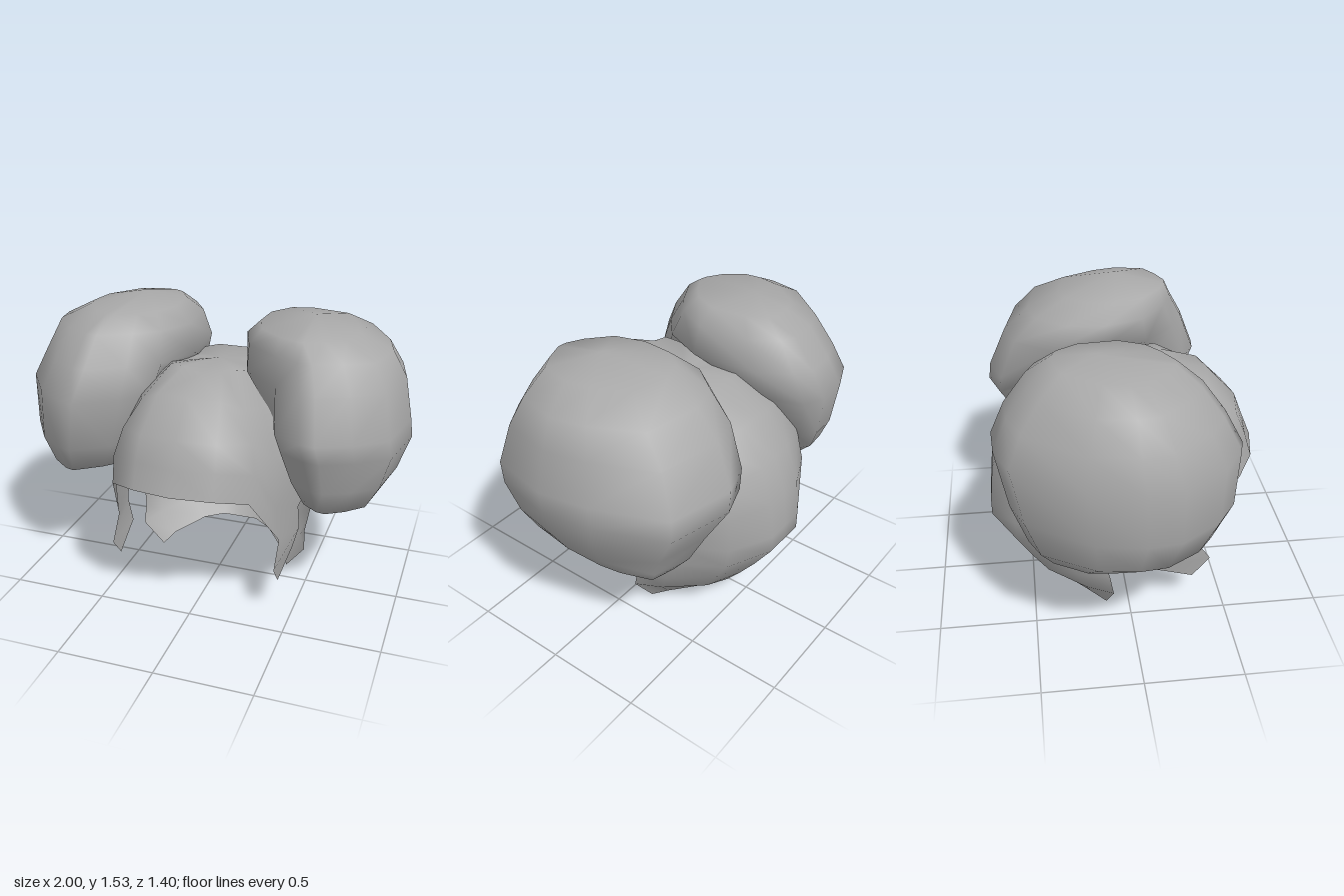
import * as THREE from 'three';
import { mergeVertices } from 'three/addons/utils/BufferGeometryUtils.js';

const hairGrey = new THREE.MeshStandardMaterial({ color: 0xa8a8a8, side: THREE.DoubleSide });
hairGrey.name = 'hairGrey';

// Adds triangles between neighbouring point rows; mirror = -1 flips x and winding.
// Points are [x, y, z, joint]; triangles wholly inside a bun-to-cap joint are left open.
function addGrid(out, rows, mirror = 1) {
  const tri = (...p) => {
    if (p.every(q => q[3])) return;
    if (mirror < 0) p.reverse();
    p.forEach(([x, y, z]) => out.push(x * mirror, y, z));
  };
  for (let i = 0; i < rows.length - 1; i++) {
    for (let j = 0; j < rows[i].length - 1; j++) {
      const a = rows[i][j], b = rows[i][j + 1], c = rows[i + 1][j + 1], d = rows[i + 1][j];
      tri(a, b, c);
      tri(a, c, d);
    }
  }
}

function smoothMesh(name, positions) {
  let geo = new THREE.BufferGeometry();
  geo.setAttribute('position', new THREE.Float32BufferAttribute(positions, 3));
  geo = mergeVertices(geo, 1e-4);
  geo.computeVertexNormals();
  const mesh = new THREE.Mesh(geo, hairGrey);
  mesh.name = name;
  return mesh;
}

// Approximate half width of the cap, used to seat the buns on it
function capHalfWidth(y, z) {
  const up = Math.max(0, y - 0.7) / 0.56;
  return 0.46 * Math.sqrt(Math.max(0, 1 - up * up - (z / 0.75) ** 2));
}

// Bun: one plan outline fitted into the x and z range of each level [y, x0, x1, z0, z1]
function makeBun(name, outline, levels, mirror) {
  const box = new THREE.Box2().setFromPoints(outline.map(([x, z]) => new THREE.Vector2(x, z)));
  const size = box.getSize(new THREE.Vector2());
  const unit = outline.map(([x, z]) => [(x - box.min.x) / size.x, (z - box.min.y) / size.y]);
  unit.push(unit[0]);
  const rings = levels.map(([y, x0, x1, z0, z1]) => unit.map(([u, v]) => {
    const x = x0 + u * (x1 - x0), z = z0 + v * (z1 - z0);
    const seat = capHalfWidth(y, z);
    return [Math.max(x, seat), y, z, x < seat];
  }));
  const out = [];
  addGrid(out, rings, mirror);
  return smoothMesh(name, out);
}

export function createModel() {
  const model = new THREE.Group();
  model.name = 'hair';

  // Cap columns, each from near the crown to the hairline, front centre to side
  const crown = [0, 1.23, -0.05];
  const front = [
    [[0, 1.24, 0.25], [0, 1.19, 0.45], [0, 1.03, 0.6], [0, 0.9, 0.65], [0, 0.78, 0.7]],
    [[0.1, 1.26, 0.22], [0.16, 1.18, 0.42], [0.19, 1.02, 0.57], [0.2, 0.9, 0.62], [0.2, 0.77, 0.66]],
    [[0.17, 1.26, 0.2], [0.26, 1.13, 0.38], [0.33, 1.0, 0.46], [0.36, 0.87, 0.52], [0.35, 0.74, 0.57]],
    [[0.2, 1.24, 0.12], [0.32, 1.1, 0.25], [0.41, 0.88, 0.34], [0.43, 0.64, 0.37], [0.44, 0.43, 0.33]],
    [[0.21, 1.22, 0.05], [0.37, 1.07, 0.1], [0.47, 0.86, 0.1], [0.49, 0.68, 0.1], [0.48, 0.51, 0.1]],
    [[0.21, 1.21, -0.03], [0.38, 1.06, 0], [0.48, 0.86, 0], [0.5, 0.7, 0], [0.49, 0.54, 0.03]],
  ];
  // Cap columns from the side to the back
  const back = [
    [[0.22, 1.2, -0.1], [0.39, 1.05, -0.1], [0.48, 0.85, -0.1], [0.5, 0.7, -0.1], [0.49, 0.53, -0.08]],
    [[0.21, 1.2, -0.18], [0.37, 1.05, -0.3], [0.45, 0.87, -0.36], [0.47, 0.7, -0.37], [0.46, 0.53, -0.35]],
    [[0.18, 1.2, -0.25], [0.3, 1.06, -0.43], [0.34, 0.9, -0.53], [0.34, 0.72, -0.58], [0.33, 0.53, -0.58]],
    [[0.08, 1.22, -0.28], [0.11, 1.1, -0.48], [0.12, 0.93, -0.61], [0.12, 0.74, -0.68], [0.12, 0.54, -0.7]],
  ];
  // Nape: continues the back columns down to the lower hem
  const nape = [
    [[0.49, 0.53, -0.08], [0.5, 0.41, -0.15], [0.475, 0.25, -0.11], [0.48, 0.14, -0.09], [0.375, 0, -0.12]],
    [[0.46, 0.53, -0.35], [0.47, 0.41, -0.33], [0.46, 0.27, -0.28], [0.42, 0.15, -0.23], [0.33, 0.04, -0.2]],
    [[0.33, 0.53, -0.58], [0.33, 0.42, -0.57], [0.31, 0.3, -0.5], [0.28, 0.17, -0.42], [0.2, 0.08, -0.36]],
    [[0.12, 0.54, -0.7], [0.12, 0.45, -0.7], [0.11, 0.3, -0.6], [0.1, 0.18, -0.51], [0.1, 0.085, -0.43]],
  ];
  // Sideburn strand in front of the ear gap
  const sideburn = [
    [[0.44, 0.43, 0.33], [0.44, 0.3, 0.42], [0.44, 0.19, 0.33]],
    [[0.48, 0.51, 0.1], [0.49, 0.39, 0.1], [0.46, 0.27, 0.11]],
  ];
  const closeBack = cols => [...cols, cols.at(-1).map(([, y, z]) => [0, y, z])];

  // Side columns open into the buns above the ear
  const columns = closeBack([...front, ...back]).map((col, i) =>
    [crown, ...col.map((p, j) => [...p, i >= 4 && i <= 7 && j < 4])]);
  const cap = [];
  for (const side of [1, -1]) {
    addGrid(cap, columns, side);
    addGrid(cap, closeBack(nape), side);
    addGrid(cap, sideburn, side);
  }
  const capMesh = smoothMesh('hairCap', cap);
  capMesh.position.x = -0.015;
  model.add(capMesh);

  // Side buns, slightly different from each other
  model.add(makeBun('leftBun',
    [[0.46, -0.68], [0.8, -0.6], [0.95, -0.25], [1, 0], [0.94, 0.31], [0.78, 0.42], [0.62, 0.49],
      [0.54, 0.48], [0.4, 0.4], [0.2, 0.2], [0.12, -0.1], [0.14, -0.4], [0.28, -0.62]],
    [[1.53, 0.5, 0.5, 0.03, 0.03], [1.47, 0.22, 0.72, -0.28, 0.3], [1.38, 0.13, 0.88, -0.45, 0.34],
      [1.25, 0.12, 0.95, -0.58, 0.41], [1.04, 0.13, 0.99, -0.67, 0.49], [0.94, 0.16, 1, -0.68, 0.46],
      [0.76, 0.26, 0.94, -0.58, 0.4], [0.63, 0.38, 0.86, -0.52, 0.35], [0.56, 0.48, 0.8, -0.46, 0.05],
      [0.51, 0.66, 0.66, -0.35, -0.35]], 1));
  model.add(makeBun('rightBun',
    [[0.38, -0.66], [0.56, -0.65], [0.73, -0.58], [0.96, -0.25], [1, 0], [0.98, 0.17], [0.83, 0.38],
      [0.68, 0.48], [0.6, 0.5], [0.4, 0.38], [0.25, 0.25], [0.14, 0], [0.17, -0.4], [0.28, -0.6]],
    [[1.52, 0.46, 0.46, -0.17, -0.17], [1.48, 0.25, 0.7, -0.36, 0.2], [1.4, 0.17, 0.86, -0.48, 0.31],
      [1.25, 0.14, 0.93, -0.59, 0.42], [1.1, 0.14, 1, -0.66, 0.5], [0.83, 0.24, 1, -0.6, 0.47],
      [0.66, 0.4, 0.95, -0.52, 0.36], [0.57, 0.5, 0.84, -0.44, 0.1], [0.5, 0.7, 0.7, -0.3, -0.3]], -1));

  return model;
}
